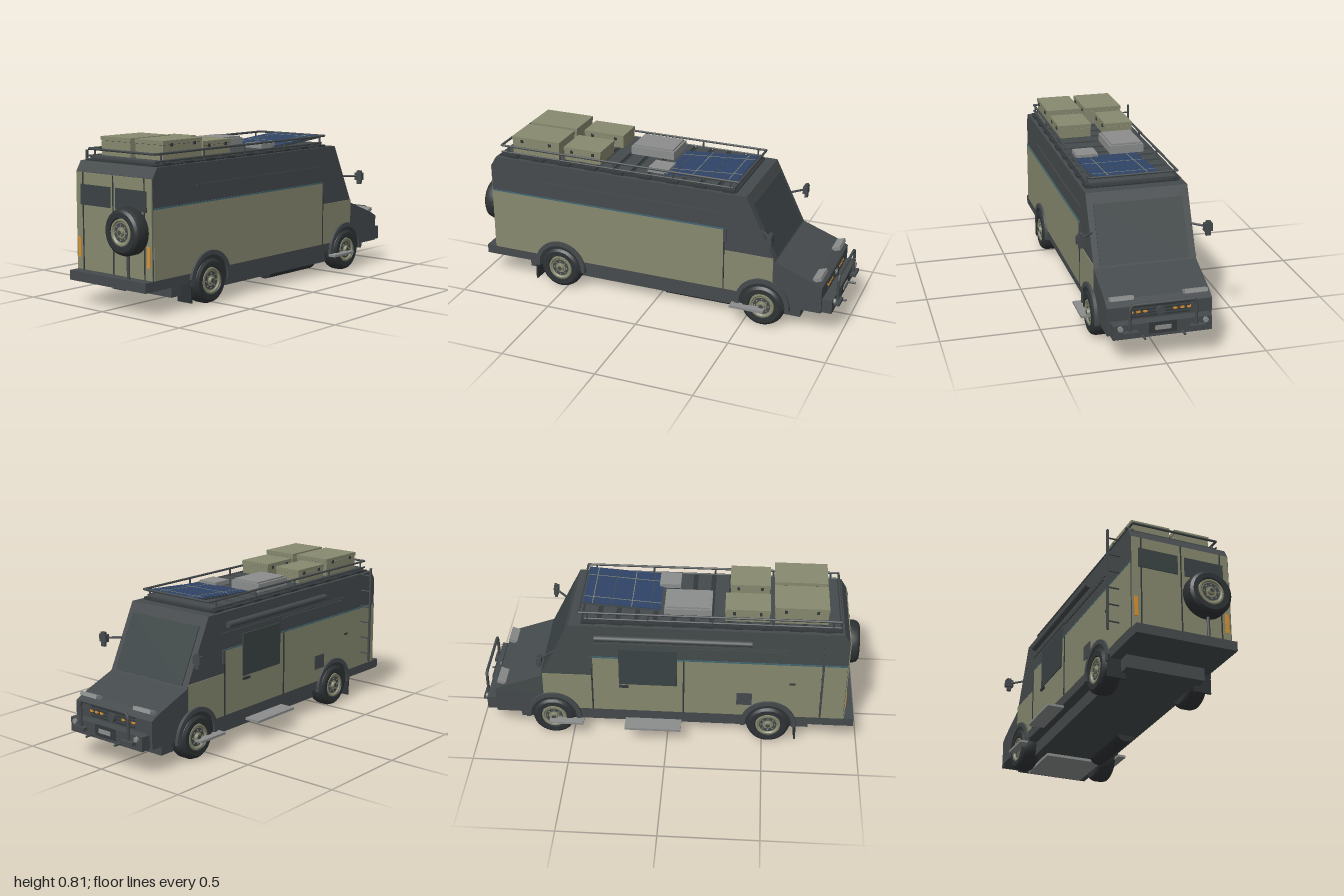
import * as THREE from 'three';
import { toCreasedNormals } from 'three/addons/utils/BufferGeometryUtils.js';

const mat = (name, color) => {
  const m = new THREE.MeshStandardMaterial({ color });
  m.name = name;
  return m;
};

export function createModel() {
  const root = new THREE.Group();
  root.name = 'expeditionVan';
  const dark = mat('darkGrey', 0x454a4c), olive = mat('olive', 0x87896f), glass = mat('glass', 0x3b4344);
  const rubber = mat('rubber', 0x2f3335), grey = mat('lightGrey', 0x8b8d8c), blue = mat('solarBlue', 0x2f4468);
  const amber = mat('amber', 0xd9922e), teal = mat('teal', 0x3f6672), seam = mat('seam', 0x33383a);
  const C = 0.007, H = 0.258; // body centre and half width in z

  const add = (name, geo, m, parent = root) => {
    const mesh = new THREE.Mesh(geo, m);
    mesh.name = name;
    parent.add(mesh);
    return mesh;
  };
  // box given by its limits on each axis
  const box = (name, m, x0, x1, y0, y1, z0, z1, parent = root) => {
    const b = add(name, new THREE.BoxGeometry(x1 - x0, y1 - y0, z1 - z0), m, parent);
    b.position.set((x0 + x1) / 2, (y0 + y1) / 2, (z0 + z1) / 2);
    return b;
  };
  // round bar between two points
  const bar = (name, m, a, b, r = 0.006, sides = 8) => {
    const p = new THREE.Vector3(...a), q = new THREE.Vector3(...b), d = q.clone().sub(p);
    const c = add(name, new THREE.CylinderGeometry(r, r, d.length(), sides), m);
    c.position.copy(p).add(q).multiplyScalar(0.5);
    c.quaternion.setFromUnitVectors(new THREE.Vector3(0, 1, 0), d.normalize());
    return c;
  };
  // side outline extruded across z
  const slab = (name, m, pts, z0, z1) => {
    const s = new THREE.Shape(pts.map(p => new THREE.Vector2(...p)));
    const e = add(name, new THREE.ExtrudeGeometry(s, { depth: z1 - z0, bevelEnabled: false }), m);
    e.position.z = z0;
    return e;
  };

  // Body shell
  slab('bodyShell', dark, [[-0.92, 0.12], [0.905, 0.13], [0.905, 0.27], [0.86, 0.295], [0.66, 0.37],
    [0.5, 0.70], [-0.89, 0.70], [-0.92, 0.65]], C - H, C + H);
  box('chassis', dark, -0.743, 0.786, 0.055, 0.125, -0.195, 0.21);
  box('skidPlate', grey, 0.43, 0.735, 0.037, 0.052, -0.15, 0.163);
  bar('fuelTank', rubber, [0.04, 0.075, 0.145], [0.42, 0.075, 0.145], 0.055, 20);

  // Windscreen plate lying on the sloped front
  const slope = Math.atan2(0.33, -0.16);
  const screen = add('windscreen', new THREE.BoxGeometry(0.3, 0.006, 0.45), glass);
  screen.position.set(0.592, 0.515, C + 0.002);
  screen.rotation.z = slope - Math.PI;

  for (const s of [1, -1]) {
    const side = C + s * H;
    const plate = (name, m, x0, x1, y0, y1, t = 0.004) =>
      box(name, m, x0, x1, y0, y1, Math.min(side, side + s * t), Math.max(side, side + s * t));
    // Olive lower panels and trim
    slab('sidePanel', olive, [[-0.918, 0.17], [0.65, 0.17], [0.65, 0.39], [0.39, 0.39], [0.39, 0.505], [-0.918, 0.505]],
      s > 0 ? side : side - 0.004, s > 0 ? side + 0.004 : side);
    plate('waistStripe', teal, -0.918, 0.39, 0.505, 0.511, 0.005);
    plate('cabSeam', seam, 0.387, 0.393, 0.17, 0.505, 0.006);
    plate('cabTrim', dark, 0.385, 0.402, 0.44, 0.51, 0.008);
    plate('upperMoulding', dark, -0.62, 0.4, 0.588, 0.598, 0.005);

    // Cab step
    const z = C + s * 0.29;
    box('cabStep', grey, 0.44, 0.62, 0.097, 0.109, z - 0.023, z + 0.023);

    // Door mirror
    const mz = C + s * 0.319;
    box('mirrorHead', dark, 0.642, 0.658, 0.482, 0.557, mz - 0.012, mz + 0.012);
    box('mirrorFoot', dark, 0.635, 0.66, 0.505, 0.545, mz - 0.022, mz + 0.022);
    bar('mirrorArm', dark, [0.585, 0.527, C + s * 0.25], [0.65, 0.527, mz], 0.006);

    // Hood lamps, fog lamps, bull bar feet
    const lamp = box('hoodLamp', grey, 0.852, 0.896, 0.293, 0.312, C + s * 0.182 - 0.057, C + s * 0.182 + 0.057);
    lamp.rotation.z = 0.35;
    bar('fogLamp', grey, [0.955, 0.187, C + s * 0.209], [0.968, 0.187, C + s * 0.209], 0.013, 16);
    box('bullBarFoot', dark, 0.955, 0.985, 0.157, 0.173, C + s * 0.165 - 0.038, C + s * 0.165 + 0.038);
    for (let i = 0; i < 3; i++) {
      const az = C + s * (0.074 + i * 0.034);
      box('amberLamp', amber, 0.905, 0.914, 0.236, 0.247, az - 0.009, az + 0.009);
    }
    // Tail lamp and mud flap
    box('tailLamp', amber, -0.929, -0.92, 0.23, 0.33, C + s * 0.235 - 0.009, C + s * 0.235 + 0.009);
    box('mudFlap', rubber, -0.677, -0.667, 0.025, 0.14, C + s * 0.225 - 0.045, C + s * 0.225 + 0.045);
  }

  // Wheel facing +z: tyre, rim and hub
  const lathe = (pts, n) => {
    const g = new THREE.LatheGeometry(pts.map(p => new THREE.Vector2(...p)), n);
    g.rotateX(Math.PI / 2);
    return toCreasedNormals(g, 0.5);
  };
  const tyreGeo = lathe([[0.001, -0.05], [0.095, -0.05], [0.108, -0.04], [0.115, -0.022], [0.115, 0.022],
    [0.108, 0.04], [0.095, 0.05], [0.07, 0.05], [0.066, 0.036], [0.001, 0.036]], 32);
  const rimGeo = lathe([[0.066, 0.037], [0.064, 0.048], [0.056, 0.048], [0.05, 0.041], [0.001, 0.041]], 28);
  const wheel = (name, x, y, z, ry) => {
    const g = new THREE.Group();
    g.name = name;
    add('tyre', tyreGeo, rubber, g);
    add('rim', rimGeo, olive, g);
    const ring = add('hubRing', new THREE.RingGeometry(0.028, 0.046, 24), dark, g);
    ring.position.z = 0.0425;
    const hub = add('hub', new THREE.CylinderGeometry(0.017, 0.021, 0.02, 16).rotateX(Math.PI / 2), olive, g);
    hub.position.z = 0.045;
    const cap = add('hubCap', new THREE.CircleGeometry(0.012, 16), dark, g);
    cap.position.z = 0.056;
    for (let i = 0; i < 8; i++) {
      const bolt = add('bolt', new THREE.BoxGeometry(0.006, 0.006, 0.004), olive, g);
      bolt.position.set(0.036 * Math.cos(i * Math.PI / 4), 0.036 * Math.sin(i * Math.PI / 4), 0.044);
    }
    g.position.set(x, y, z);
    g.rotation.y = ry;
    root.add(g);
  };
  // Wheel arch flare: half ring
  const arch = new THREE.Shape();
  arch.absarc(0, 0, 0.145, -0.1, Math.PI + 0.1, false);
  arch.absarc(0, 0, 0.122, Math.PI + 0.1, -0.1, true);
  const archGeo = toCreasedNormals(new THREE.ExtrudeGeometry(arch, { depth: 0.02, bevelEnabled: false, curveSegments: 20 }), 0.5);
  const well = new THREE.CircleGeometry(0.124, 28, -0.1, Math.PI + 0.2);
  for (const x of [-0.53, 0.6]) for (const s of [1, -1]) {
    wheel('wheel', x, 0.116, C + s * 0.226, s > 0 ? 0 : Math.PI);
    add('archFlare', archGeo, dark).position.set(x, 0.122, C + s * 0.264 - 0.01);
    const w = add('wheelWell', well, rubber);
    w.position.set(x, 0.122, C + s * 0.2635);
    w.rotation.y = s > 0 ? 0 : Math.PI;
  }

  // Front: bumper, grille, plate, bull bar
  box('frontBumper', dark, 0.9, 0.957, 0.13, 0.202, -0.235, 0.25);
  box('bumperPanel', seam, 0.957, 0.962, 0.147, 0.203, -0.06, 0.075);
  box('numberPlate', grey, 0.962, 0.967, 0.165, 0.186, -0.031, 0.047);
  for (let i = 0; i < 4; i++) box('grilleSlat', seam, 0.905, 0.911, 0.213 + i * 0.016, 0.221 + i * 0.016, -0.14, 0.155);
  bar('grilleBoss', dark, [0.905, 0.239, C], [0.922, 0.239, C], 0.022, 20);
  for (const z of [-0.09, 0.105]) bar('towHook', dark, [0.95, 0.14, z], [0.995, 0.14, z], 0.006);
  const bend = (z0, z1) => new THREE.CatmullRomCurve3([[0.165, z0], [0.28, z0], [0.303, z0 + 0.01], [0.304, 0.02 + z0],
    [0.304, z1 - 0.02], [0.303, z1 - 0.01], [0.28, z1], [0.165, z1]].map(p => new THREE.Vector3(0.965, ...p)), false, 'catmullrom', 0.1);
  add('bullBar', new THREE.TubeGeometry(bend(-0.154, 0.17), 64, 0.008, 8), dark);

  // Rear: doors, windows, bumper, spare wheel
  box('rearPanel', olive, -0.925, -0.92, 0.17, 0.648, -0.247, 0.261);
  for (const [a, b] of [[-0.215, -0.01], [0.025, 0.23]]) box('rearWindow', glass, -0.929, -0.925, 0.49, 0.59, a, b);
  for (const z of [-0.2, C, 0.215]) box('rearSeam', seam, -0.928, -0.925, 0.17, 0.648, z - 0.003, z + 0.003);
  box('rearBumper', dark, -0.975, -0.915, 0.12, 0.168, -0.25, 0.265);
  bar('spareCarrier', dark, [-0.95, 0.165, 0.13], [-0.95, 0.3, 0.13], 0.008);
  wheel('spareWheel', -0.95, 0.395, 0.128, -Math.PI / 2);
  box('spareMount', dark, -0.94, -0.92, 0.35, 0.44, 0.085, 0.17);

  // Sliding door side: seams, window, step, awning, flap
  const B = C - H;
  for (const x of [-0.085, 0.39]) box('doorSeam', seam, x - 0.004, x + 0.004, 0.17, 0.505, B - 0.007, B);
  box('doorWindow', glass, -0.05, 0.25, 0.345, 0.565, B - 0.009, B);
  box('doorHandle', seam, 0.2, 0.25, 0.325, 0.337, B - 0.014, B);
  box('doorStep', grey, -0.075, 0.22, 0.103, 0.115, -0.337, -0.25);
  bar('awningRoll', dark, [-0.43, 0.635, B - 0.011], [0.37, 0.635, B - 0.011], 0.016, 10);
  box('doorRail', dark, -0.6, -0.08, 0.575, 0.585, B - 0.006, B);
  box('serviceFlap', dark, -0.44, -0.36, 0.24, 0.315, B - 0.008, B);
  box('sideSocket', seam, -0.66, -0.63, 0.38, 0.39, B - 0.008, B);

  // Ladder
  box('ladderRail', dark, -0.797, -0.787, 0.205, 0.74, -0.318, -0.308);
  for (let i = 0; i < 6; i++) bar('ladderRung', dark, [-0.792, 0.25 + i * 0.089, -0.313], [-0.792, 0.25 + i * 0.089, -0.25], 0.004);

  // Roof rack
  for (const z of [-0.215, 0.232]) {
    bar('rackTopRail', dark, [-0.87, 0.757, z], [0.45, 0.757, z], 0.006);
    bar('rackLowerRail', dark, [-0.87, 0.722, z], [0.42, 0.722, z], 0.005);
    for (const x of [-0.83, -0.53, -0.225, 0.1, 0.405]) bar('rackPost', dark, [x, 0.695, z], [x, 0.757, z], 0.005);
    for (let i = 0; i < 9; i++) box('rackFoot', seam, -0.83 + i * 0.15, -0.77 + i * 0.15, 0.7, 0.712, z - 0.018, z + 0.018);
  }
  for (const x of [-0.87, 0.45]) bar('rackEndRail', dark, [x, 0.757, -0.215], [x, 0.757, 0.232], 0.006);
  for (let i = 0; i < 14; i++) box('rackSlat', dark, -0.865 + i * 0.094, -0.795 + i * 0.094, 0.712, 0.722, -0.212, 0.229);
  box('roofPanel', seam, -0.88, 0.44, 0.7, 0.706, -0.228, 0.243);

  // Storage cases: x range, y top, z range
  for (const [x0, x1, y1, z0, z1] of [[-0.805, -0.538, 0.815, -0.192, 0.008], [-0.805, -0.538, 0.815, 0.04, 0.222],
    [-0.512, -0.29, 0.793, -0.19, -0.042], [-0.512, -0.31, 0.793, 0.035, 0.21]]) {
    box('caseBase', olive, x0, x1, 0.722, y1 - 0.022, z0, z1);
    box('caseLid', olive, x0 - 0.003, x1 + 0.003, y1 - 0.02, y1, z0 - 0.003, z1 + 0.003);
    box('caseGap', seam, x0 + 0.003, x1 - 0.003, y1 - 0.023, y1 - 0.019, z0 + 0.003, z1 - 0.003);
    for (const t of [0.2, 0.8]) {
      const x = x0 + (x1 - x0) * t;
      box('caseLatch', seam, x - 0.007, x + 0.007, y1 - 0.03, y1 - 0.014, z0 - 0.007, z1 + 0.007);
    }
  }

  // Roof vents and solar panel
  box('roofUnit', grey, -0.22, 0.02, 0.722, 0.765, -0.168, 0.012);
  box('roofUnitLid', grey, -0.21, 0.01, 0.765, 0.774, -0.158, 0.002);
  box('roofVent', grey, -0.05, 0.06, 0.722, 0.745, 0.088, 0.2);
  const solar = new THREE.Group();
  solar.name = 'solarPanel';
  box('solarFrame', dark, -0.203, 0.203, -0.006, 0.003, -0.168, 0.168, solar);
  box('solarCells', blue, -0.198, 0.198, 0.003, 0.007, -0.164, 0.164, solar);
  for (const x of [-0.15, -0.05, 0.05, 0.15]) box('cellLine', x === -0.05 || x === 0.15 ? olive : dark, x - 0.002, x + 0.002, 0.007, 0.008, -0.164, 0.164, solar);
  for (const z of [-0.11, 0.09]) box('cellLine', olive, -0.198, 0.198, 0.007, 0.008, z - 0.002, z + 0.002, solar);
  solar.position.set(0.24, 0.737, 0.044);
  solar.rotation.z = 0.075;
  root.add(solar);

  return root;
}
